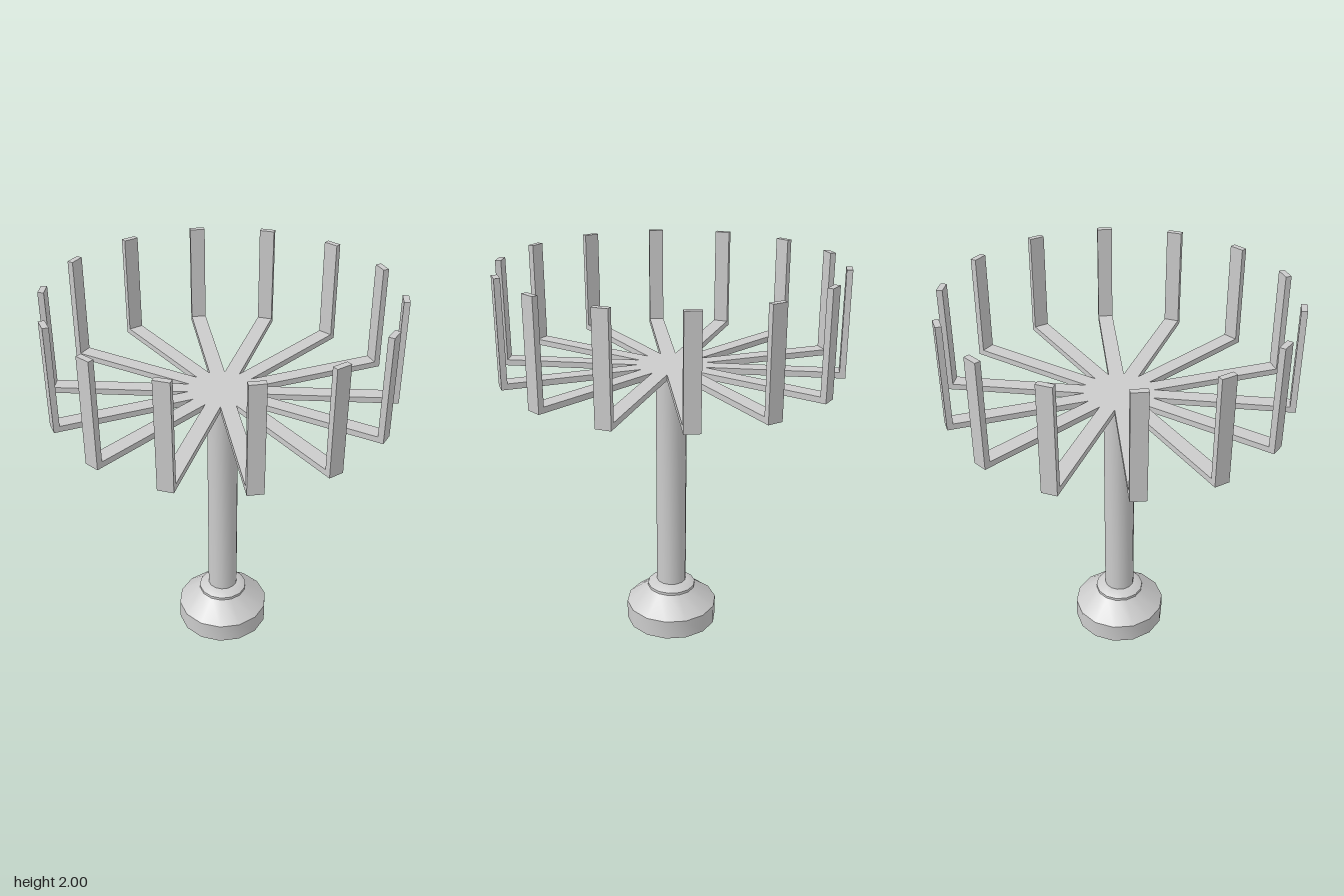
import * as THREE from 'three';
import { toCreasedNormals } from 'three/addons/utils/BufferGeometryUtils.js';

const SIDES = 14;
const STEP = (Math.PI * 2) / SIDES;
const ARM_WIDTH = 0.078;
const REACH = 0.87;
const THICK = 0.03;
const ARM_Y = 1.46;
const TOP = 2;

export function createModel() {
  const model = new THREE.Group();
  model.name = 'radialStand';
  const grey = new THREE.MeshStandardMaterial({ color: 0xcccccc });
  const greyOpen = new THREE.MeshStandardMaterial({ color: 0xcccccc, side: THREE.DoubleSide });

  const add = (name, geometry, material = grey) => {
    const mesh = new THREE.Mesh(geometry, material);
    mesh.name = name;
    model.add(mesh);
    return mesh;
  };
  const turned = (points) => toCreasedNormals(
    new THREE.LatheGeometry(points.map(([r, y]) => new THREE.Vector2(r, y)), SIDES, Math.PI / 2), 0.6);

  // Hollow foot, open underneath, with a stepped collar
  add('base', turned([
    [0.247, 0], [0.247, 0.105], [0.125, 0.2], [0.13, 0.2], [0.13, 0.215], [0.085, 0.24], [0.08, 0.24],
  ]), greyOpen);

  // Column
  add('column', turned([[0.08, 0.24], [0.08, ARM_Y]]), greyOpen);

  // Hub plate: its corners are where neighbouring arms meet
  const hubRadius = ARM_WIDTH / 2 / Math.sin(STEP / 2);
  const hub = add('hub', toCreasedNormals(
    new THREE.CylinderGeometry(hubRadius, hubRadius, THICK, SIDES, 1, false, STEP / 2), 0.3));
  hub.position.y = ARM_Y + THICK / 2;

  // L-shaped arms, each a flat spoke with an upright at its end
  const start = hubRadius * Math.cos(STEP / 2);
  const profile = new THREE.Shape([
    [start, ARM_Y], [REACH, ARM_Y], [REACH, TOP], [REACH - THICK, TOP],
    [REACH - THICK, ARM_Y + THICK], [start, ARM_Y + THICK],
  ].map(([r, y]) => new THREE.Vector2(r, y)));
  const armGeometry = new THREE.ExtrudeGeometry(profile, { depth: ARM_WIDTH, bevelEnabled: false });
  armGeometry.translate(0, 0, -ARM_WIDTH / 2);
  for (let i = 0; i < SIDES; i++) {
    add(`arm${i + 1}`, armGeometry).rotation.y = Math.PI / 2 + i * STEP;
  }

  return model;
}
